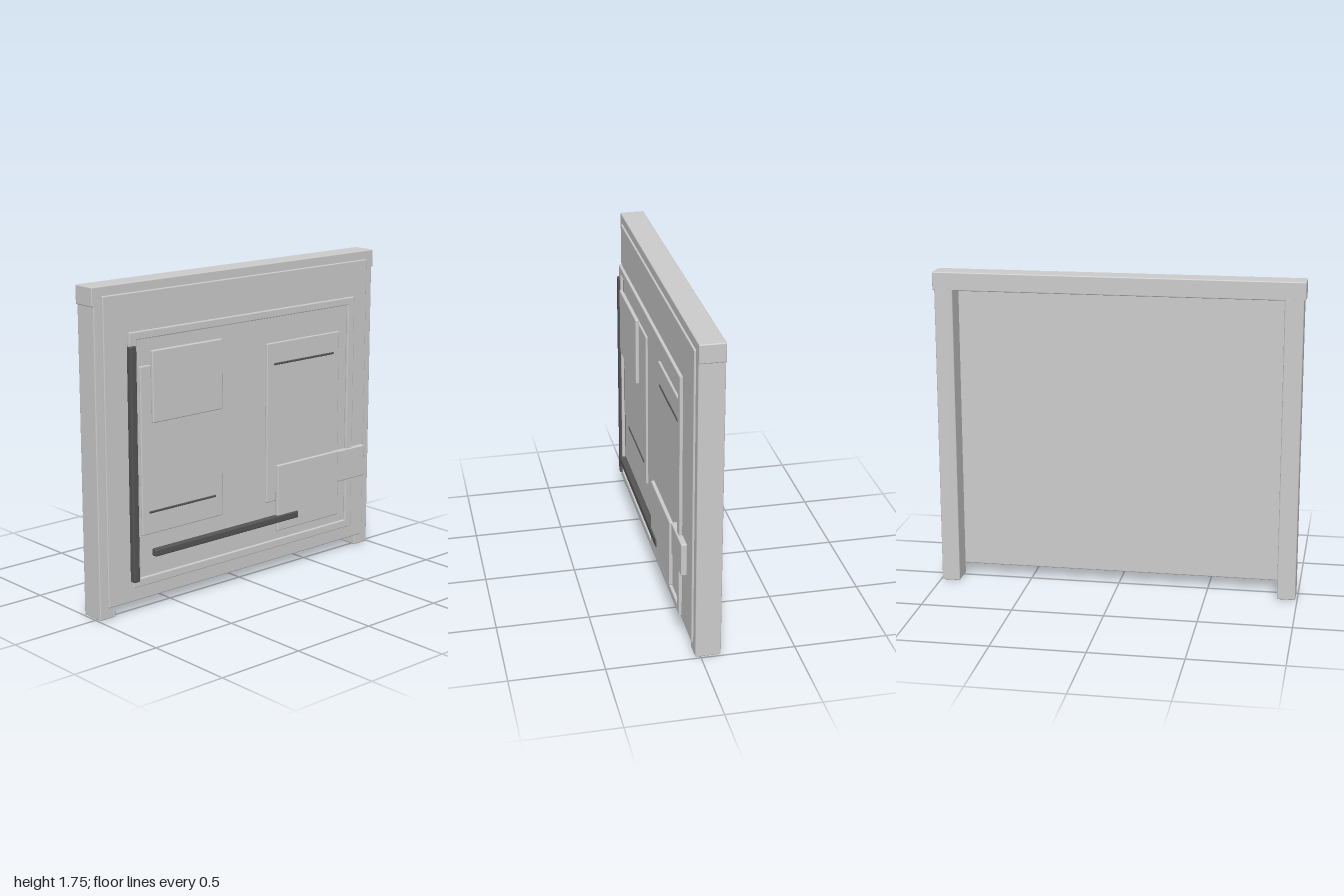
import * as THREE from 'three';
import { RoundedBoxGeometry } from 'three/addons/geometries/RoundedBoxGeometry.js';

const grey = new THREE.MeshStandardMaterial({ color: 0xcccccc });
const dark = new THREE.MeshStandardMaterial({ color: 0x555555 });

export function createModel() {
  const model = new THREE.Group();

  // Softly bevelled block given by its limits on each axis
  const block = (name, [x0, x1], [y0, y1], [z0, z1], material = grey, radius = 0.006) => {
    const size = [x1 - x0, y1 - y0, z1 - z0];
    const r = Math.min(radius, Math.min(...size) * 0.4);
    const mesh = new THREE.Mesh(new RoundedBoxGeometry(...size, 2, r), material);
    mesh.position.set((x0 + x1) / 2, (y0 + y1) / 2, (z0 + z1) / 2);
    mesh.name = name;
    model.add(mesh);
  };

  // Outer surround: two posts, a top beam and the backing panel
  const depth = [-0.107, 0.029];
  block('leftPost', [0.89, 0.99], [0, 1.66], depth);
  block('rightPost', [-0.99, -0.89], [0, 1.66], depth);
  block('topBeam', [-1, 1], [1.65, 1.75], depth);
  block('backPanel', [-0.94, 0.94], [0.06, 1.7], [0.024, 0.039]);

  // Raised plates, each with a thin strip
  block('rightPlate', [-0.72, -0.165], [0.41, 1.315], [0.036, 0.051]);
  block('leftPlate', [0.16, 0.715], [0.41, 1.315], [0.036, 0.051]);
  block('rightStrip', [-0.675, -0.215], [0.524, 0.536], [0.046, 0.056], dark);
  block('leftStrip', [0.21, 0.67], [1.189, 1.201], [0.046, 0.056], dark);

  // Rectangular trim standing just off the panel
  const rectangle = (Target, x0, x1, y0, y1) => new Target().setFromPoints([
    new THREE.Vector2(x0, y0), new THREE.Vector2(x1, y0),
    new THREE.Vector2(x1, y1), new THREE.Vector2(x0, y1),
  ]);
  const bevel = 0.005;
  const outline = rectangle(THREE.Shape, -0.807 + bevel, 0.807 - bevel, 0.147 + bevel, 1.505 - bevel);
  outline.holes.push(rectangle(THREE.Path, -0.757 - bevel, 0.757 + bevel, 0.193 - bevel, 1.462 + bevel));
  const trim = new THREE.Mesh(new THREE.ExtrudeGeometry(outline, {
    depth: 0.008, bevelThickness: bevel, bevelSize: bevel, bevelSegments: 2,
  }), grey);
  trim.position.z = 0.059 + bevel;
  trim.name = 'trimFrame';
  model.add(trim);

  // Cards and side tab in front of the trim
  block('upperCard', [-0.677, -0.205], [1.02, 1.4], [0.078, 0.099]);
  block('lowerCard', [0.2, 0.673], [0.25, 0.63], [0.078, 0.099]);
  block('sideTab', [0.66, 0.9], [0.44, 0.623], [0.055, 0.087]);

  // Dark vertical and horizontal rails
  block('verticalRail', [-0.81, -0.77], [0.18, 1.435], [0.054, 0.09], dark, 0.008);
  block('horizontalRail', [-0.677, 0.355], [0.3, 0.34], [0.071, 0.107], dark, 0.008);

  return model;
}
